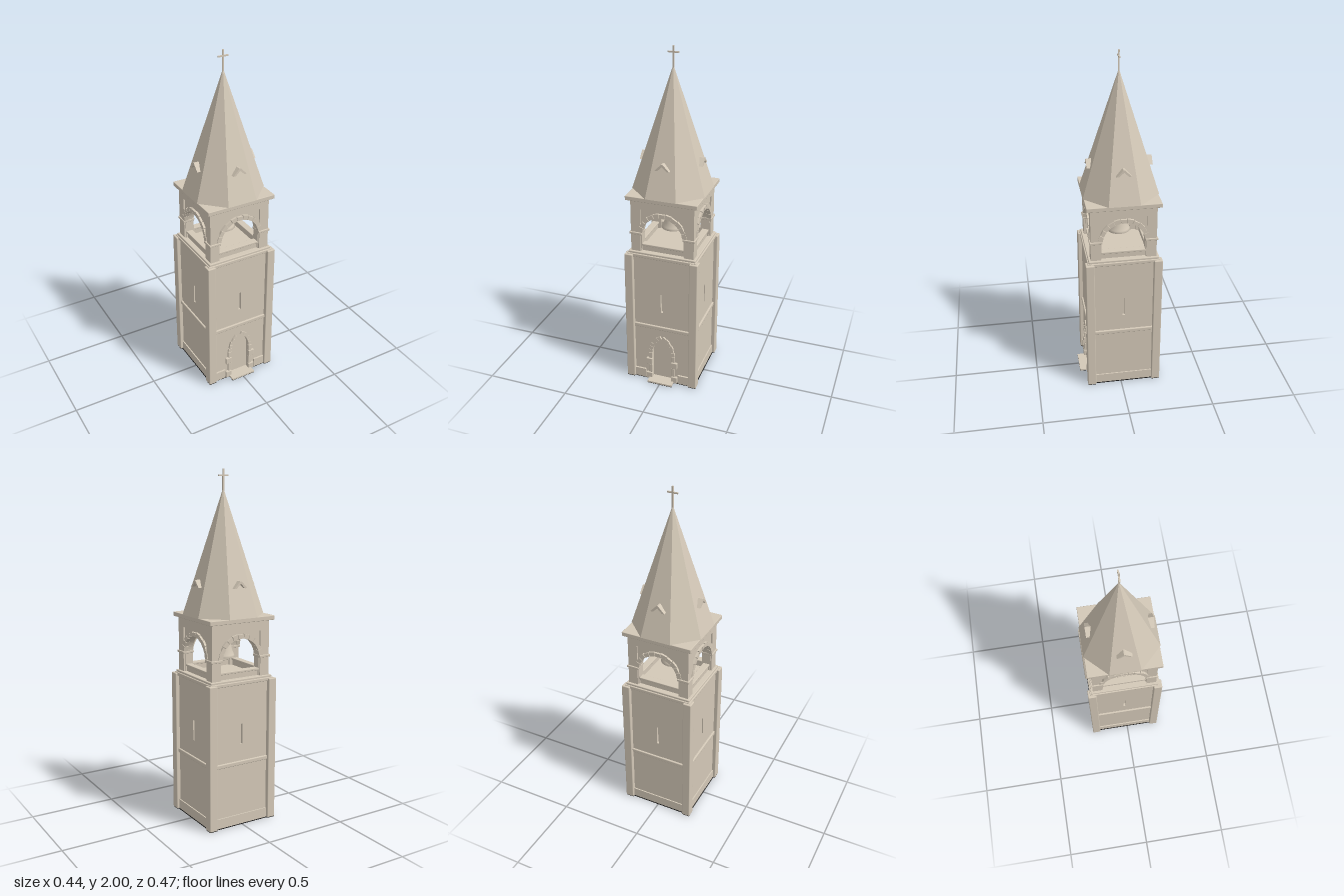
import * as THREE from 'three';
import { RoundedBoxGeometry } from 'three/addons/geometries/RoundedBoxGeometry.js';

const stone = new THREE.MeshStandardMaterial({ color: 0xd3c8b7 });
stone.name = 'stone';
const underside = new THREE.MeshStandardMaterial({ color: 0x1c1b1a });
underside.name = 'dark underside';

function add(parent, name, geometry, x = 0, y = 0, z = 0, material = stone) {
  const mesh = new THREE.Mesh(geometry, material);
  mesh.name = name;
  mesh.position.set(x, y, z);
  parent.add(mesh);
  return mesh;
}

// Box given by its limits; an optional radius rounds the edges
function block(parent, name, x0, x1, y0, y1, z0, z1, radius = 0, material = stone) {
  const size = [x1 - x0, y1 - y0, z1 - z0];
  const geometry = radius ? new RoundedBoxGeometry(...size, 2, radius) : new THREE.BoxGeometry(...size);
  return add(parent, name, geometry, (x0 + x1) / 2, (y0 + y1) / 2, (z0 + z1) / 2, material);
}

const polygon = (points) => new THREE.Shape(points.map(([x, y]) => new THREE.Vector2(x, y)));

function slab(parent, name, shape, z0, z1) {
  const geometry = new THREE.ExtrudeGeometry(shape, { depth: z1 - z0, bevelEnabled: false, curveSegments: 16 });
  return add(parent, name, geometry, 0, 0, z0);
}

// Ring of wedge stones from angle a0 to a1 about (cx, cy)
function archStones(parent, name, cx, cy, rIn, rOut, a0, a1, count, z0, z1) {
  const step = (a1 - a0) / count;
  for (let i = 0; i < count; i++) {
    const s = a0 + step * (i + 0.04), e = a0 + step * (i + 0.96);
    const outer = rOut - (i % 2) * 0.003;
    const at = (r, a) => [cx + r * Math.cos(a), cy + r * Math.sin(a)];
    slab(parent, name, polygon([at(rIn, s), at(outer, s), at(outer, e), at(rIn, e)]), z0, z1);
  }
}

// Pointed door arch: half width, spring height and arc radius
const DOOR = { w: 0.06, spring: 0.19, r: 0.131, end: Math.acos(0.071 / 0.131) };

function lowerSide(side, isFront) {
  const wall = polygon([[-0.185, 0], [0.185, 0], [0.185, 0.835], [-0.185, 0.835]]);
  wall.holes.push(polygon([[-0.007, 0.48], [-0.007, 0.6], [0.007, 0.6], [0.007, 0.48]]));
  if (isFront) {
    const { w, spring, r, end } = DOOR, c = w - r;
    const opening = new THREE.Path();
    opening.moveTo(-w, 0.012);
    opening.lineTo(w, 0.012);
    opening.lineTo(w, spring);
    opening.absarc(c, spring, r, 0, end, false);
    opening.absarc(-c, spring, r, Math.PI - end, Math.PI, false);
    opening.lineTo(-w, 0.012);
    wall.holes.push(opening);
  }
  slab(side, 'wall', wall, 0.177, 0.197);
  block(side, 'stringCourse', -0.172, 0.172, 0.36, 0.384, 0.19, 0.207, 0.005);
  // Plinth, interrupted by the door at the front
  if (isFront) for (const s of [-1, 1]) block(side, 'plinth', s * 0.137 - 0.035, s * 0.137 + 0.035, 0, 0.06, 0.19, 0.208);
  else block(side, 'plinth', -0.172, 0.172, 0, 0.06, 0.19, 0.204);
}

function doorway(side) {
  const { w, spring, r, end } = DOOR, c = w - r;
  archStones(side, 'doorArchStone', c, spring, r, r + 0.022, 0, end, 6, 0.185, 0.208);
  archStones(side, 'doorArchStone', -c, spring, r, r + 0.022, Math.PI, Math.PI - end, 6, 0.185, 0.208);
  // Jamb stones, alternately wide and narrow
  const heights = [0, 0.045, 0.105, 0.148, spring];
  for (const s of [-1, 1]) {
    for (let i = 0; i < 4; i++) {
      const outer = i % 2 ? 0.083 : 0.098;
      block(side, 'doorJambStone', Math.min(s * w, s * outer), Math.max(s * w, s * outer),
        heights[i] + 0.001, heights[i + 1] - 0.001, 0.185, 0.212 - (i % 2) * 0.004, 0.003);
    }
  }
  block(side, 'doorstep', -0.077, 0.077, 0.002, 0.012, 0.19, 0.252);
  block(side, 'doorstepUnderside', -0.077, 0.077, 0, 0.002, 0.19, 0.252, 0, underside);
}

function belfrySide(side) {
  // Inner wall with a round-headed opening
  const arch = new THREE.Shape();
  arch.moveTo(-0.178, 0.86);
  arch.lineTo(-0.125, 0.86);
  arch.lineTo(-0.125, 0.965);
  arch.absarc(0, 0.965, 0.125, Math.PI, 0, true);
  arch.lineTo(0.125, 0.86);
  arch.lineTo(0.178, 0.86);
  arch.lineTo(0.178, 1.18);
  arch.lineTo(-0.178, 1.18);
  slab(side, 'belfryWall', arch, 0.13, 0.178);
  // Raised frame around the recessed spandrels
  slab(side, 'belfryFrame', polygon([[-0.187, 0.86], [-0.13, 0.86], [-0.13, 1.12], [0.13, 1.12],
    [0.13, 0.86], [0.187, 0.86], [0.187, 1.18], [-0.187, 1.18]]), 0.177, 0.187);
  archStones(side, 'belfryArchStone', 0, 0.965, 0.121, 0.147, 0.1, Math.PI - 0.1, 11, 0.165, 0.191);
  for (const s of [-1, 1]) block(side, 'impostBand', s * 0.158 - 0.036, s * 0.158 + 0.036, 0.964, 0.978, 0.125, 0.194, 0.003);
  block(side, 'parapet', -0.126, 0.126, 0.858, 0.892, 0.142, 0.168);
  block(side, 'parapetCap', -0.126, 0.126, 0.89, 0.903, 0.136, 0.176, 0.003);
}

function dormer(side) {
  // Open gable of two thin slopes, running back into the spire
  slab(side, 'dormerRoof', polygon([[-0.042, 1.362], [-0.027, 1.362], [0, 1.388], [0.027, 1.362],
    [0.042, 1.362], [0.004, 1.402], [-0.004, 1.402]]), 0.135, 0.184);
}

export function createModel() {
  const model = new THREE.Group();
  model.name = 'bellTower';
  const tower = new THREE.Group();
  tower.name = 'tower';
  tower.position.z = -0.017;
  model.add(tower);

  // Shaft
  block(tower, 'shaftCore', -0.18, 0.18, 0.002, 0.835, -0.18, 0.18);
  block(tower, 'shaftUnderside', -0.208, 0.208, 0, 0.003, -0.208, 0.208, 0, underside);
  for (const sx of [-1, 1]) {
    for (const sz of [-1, 1]) {
      const [x, z] = [sx * 0.195, sz * 0.195];
      block(tower, 'cornerPilaster', x - 0.025, x + 0.025, 0.002, 0.843, z - 0.025, z + 0.025, 0.005);
      block(tower, 'pilasterUnderside', x - 0.023, x + 0.023, 0, 0.003, z - 0.023, z + 0.023, 0, underside);
    }
  }
  block(tower, 'shaftCornice', -0.207, 0.207, 0.828, 0.848, -0.207, 0.207, 0.004);
  block(tower, 'belfryFloor', -0.2, 0.2, 0.84, 0.86, -0.2, 0.2, 0.004);

  // Four sides
  for (let i = 0; i < 4; i++) {
    const side = new THREE.Group();
    side.name = ['frontSide', 'leftSide', 'backSide', 'rightSide'][i];
    side.rotation.y = i * Math.PI / 2;
    tower.add(side);
    lowerSide(side, i === 0);
    if (i === 0) doorway(side);
    belfrySide(side);
    dormer(side);
  }

  // Bell and its hanger
  const profile = [[0, 1.07], [0.03, 1.07], [0.037, 1.062], [0.043, 1.03], [0.052, 0.99], [0.062, 0.965], [0.069, 0.953], [0.06, 0.953], [0.03, 1.05], [0, 1.055]];
  const bellShape = profile.map(([r, y]) => new THREE.Vector2(r, y)).reverse();
  add(tower, 'bell', new THREE.LatheGeometry(bellShape, 24));
  add(tower, 'bellHanger', new THREE.CylinderGeometry(0.012, 0.012, 0.1, 12), 0, 1.118, 0);
  add(tower, 'bellClapper', new THREE.SphereGeometry(0.012, 12, 8), 0, 0.97, 0);
  block(tower, 'belfryCeiling', -0.15, 0.15, 1.15, 1.178, -0.15, 0.15);

  // Roof
  block(tower, 'roofSlab', -0.21, 0.21, 1.176, 1.201, -0.21, 0.21, 0.003);
  const spire = new THREE.ConeGeometry(0.232, 0.7, 8).toNonIndexed();
  spire.rotateY(Math.PI / 8);
  spire.computeVertexNormals();
  add(tower, 'spire', spire, 0, 1.55, 0);
  block(tower, 'crossPost', -0.004, 0.004, 1.87, 2, -0.004, 0.004);
  block(tower, 'crossBar', -0.031, 0.031, 1.962, 1.97, -0.004, 0.004);
  return model;
}
